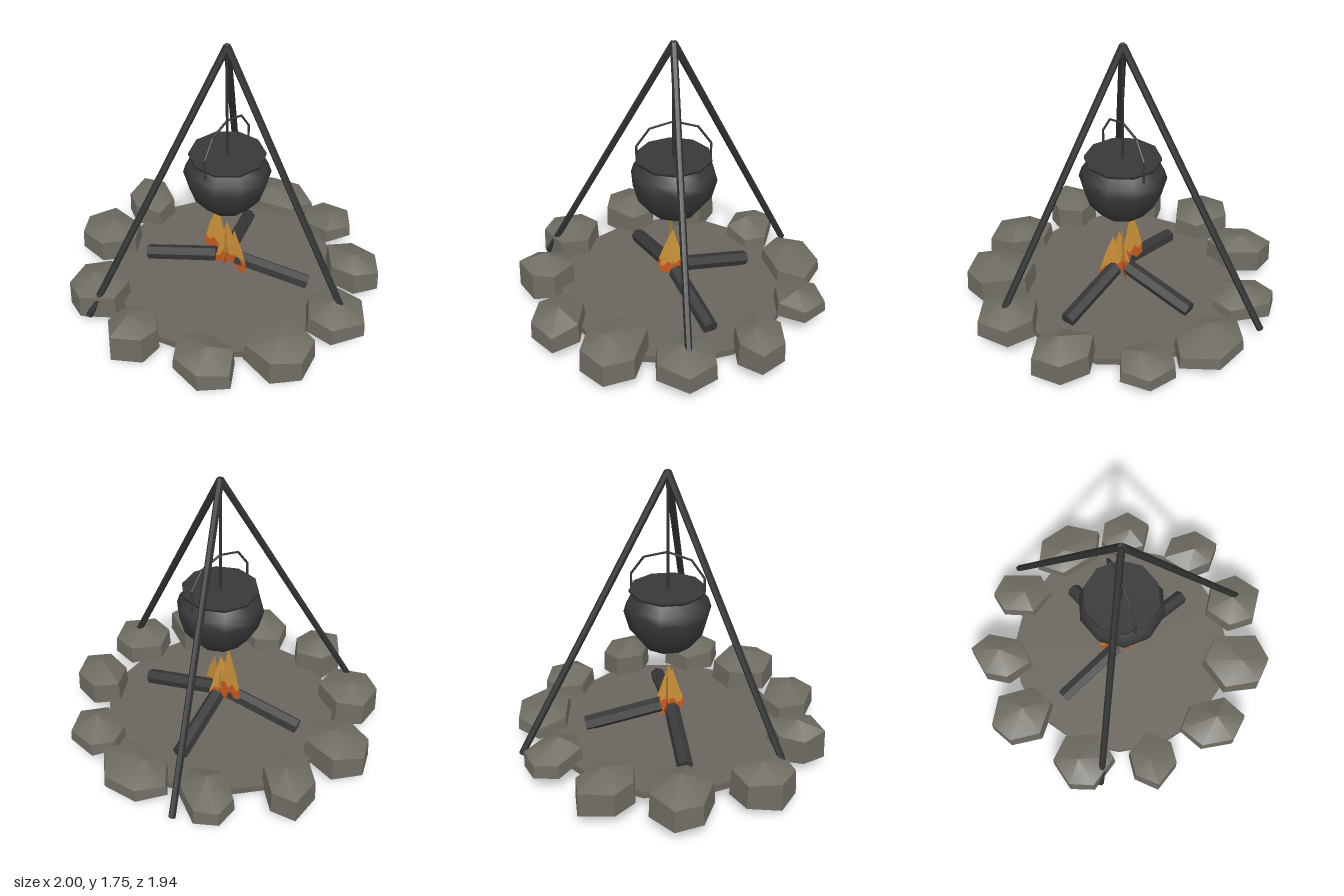
import * as THREE from 'three';
import { toCreasedNormals } from 'three/addons/utils/BufferGeometryUtils.js';
import { ConvexGeometry } from 'three/addons/geometries/ConvexGeometry.js';

const material = (name, color, extra = {}) => {
  const m = new THREE.MeshStandardMaterial({ color, ...extra });
  m.name = name;
  return m;
};

const V = (x, y, z) => new THREE.Vector3(x, y, z);

export function createModel() {
  const stone = material('stone', 0x6e6b62);
  const ash = material('ash ground', 0x6a665e);
  const iron = material('cast iron', 0x383838);
  const pole = material('dark pole', 0x303131);
  const char = material('charred wood', 0x383838);
  const flameTip = material('flame yellow', 0xcf9439, { side: THREE.DoubleSide });
  const flameBase = material('flame orange', 0xcc5a1e, { side: THREE.DoubleSide });

  const model = new THREE.Group();
  model.name = 'campfire';
  const add = (name, geometry, mat, parent = model) => {
    const mesh = new THREE.Mesh(geometry, mat);
    mesh.name = name;
    parent.add(mesh);
    return mesh;
  };

  // Straight bar with a few sides between two points
  const bar = (name, a, b, radius, sides, mat, parent) => {
    const g = toCreasedNormals(new THREE.CylinderGeometry(radius, radius, a.distanceTo(b), sides), 0.5);
    const mesh = add(name, g, mat, parent);
    mesh.position.copy(a).add(b).multiplyScalar(0.5);
    mesh.quaternion.setFromUnitVectors(V(0, 1, 0), b.clone().sub(a).normalize());
    return mesh;
  };

  // Ash bed
  const bed = new THREE.CylinderGeometry(0.72, 0.72, 0.045, 16);
  add('ashBed', toCreasedNormals(bed, 0.3), ash).position.set(-0.01, 0.1, -0.015);

  // Ring of stones: centre x, z, half length, half width, turn in degrees, bottom, top
  const stones = [
    [-0.10, -0.79, 0.25, 0.16, -10, 0.05, 0.26],
    [0.31, -0.75, 0.18, 0.15, 0, 0.06, 0.27],
    [0.67, -0.44, 0.20, 0.14, 5, 0.05, 0.31],
    [0.80, 0.00, 0.20, 0.17, 0, 0.07, 0.31],
    [0.65, 0.39, 0.22, 0.19, 20, 0.05, 0.31],
    [0.345, 0.71, 0.22, 0.15, 10, 0.05, 0.28],
    [-0.11, 0.79, 0.18, 0.14, 100, 0.02, 0.31],
    [-0.52, 0.63, 0.20, 0.17, 20, 0.00, 0.29],
    [-0.79, 0.21, 0.21, 0.17, 0, 0.03, 0.31],
    [-0.79, -0.21, 0.21, 0.14, 35, 0.04, 0.30],
    [-0.51, -0.60, 0.20, 0.15, 20, 0.05, 0.26],
  ];
  let seed = 7;
  const rand = () => {
    seed = (seed * 16807) % 2147483647;
    return seed / 2147483647 - 0.5;
  };
  const ring = new THREE.Group();
  ring.name = 'stoneRing';
  model.add(ring);
  stones.forEach(([x, z, long, wide, turn, low, high], n) => {
    const points = [
      V(rand() * 0.4 * long, high, rand() * 0.4 * wide),
      V(rand() * 0.4 * long, low, rand() * 0.4 * wide),
    ];
    for (let i = 0; i < 6; i++) {
      const a = (i / 6) * Math.PI * 2 + (i % 3 ? rand() * 0.4 : 0);
      const px = Math.cos(a) * long, pz = Math.sin(a) * wide * 1.1;
      points.push(V(px, low + 0.06 + rand() * 0.03, pz));
      points.push(V(px * 0.96, high - 0.07 + rand() * 0.03, pz * 0.96));
    }
    const rock = add('stone' + (n + 1), toCreasedNormals(new ConvexGeometry(points), 0.6), stone, ring);
    rock.position.set(x, 0, z);
    rock.rotation.y = -THREE.MathUtils.degToRad(turn);
  });

  // Tripod and hanging rod
  const tripod = new THREE.Group();
  tripod.name = 'tripod';
  model.add(tripod);
  for (let i = 0; i < 3; i++) {
    const a = (i / 3) * Math.PI * 2;
    const foot = V(-0.005 + Math.cos(a) * 0.93, 0.09, -0.012 + Math.sin(a) * 0.93);
    bar('tripodLeg', foot, V(-0.005, 1.745, -0.012), 0.021, 6, pole, tripod);
  }
  bar('hangingRod', V(-0.005, 0.98, -0.012), V(-0.005, 1.74, -0.012), 0.008, 6, pole, tripod);

  // Cauldron: body, rim, flat top and handle
  const pot = new THREE.Group();
  pot.name = 'cauldron';
  pot.position.set(-0.005, 0, -0.014);
  model.add(pot);
  const turned = (name, profile) => {
    const g = new THREE.LatheGeometry(profile.map(([r, y]) => new THREE.Vector2(r, y)), 10);
    add(name, g.rotateY(Math.PI / 2), iron, pot);
  };
  turned('potBody', [[0, 0.65], [0.075, 0.655], [0.15, 0.685], [0.23, 0.79], [0.262, 0.91], [0.245, 0.965], [0.2, 1.02]]);
  turned('potRim', [[0.2, 1.015], [0.228, 1.03], [0.228, 1.045]]);
  turned('potTop', [[0.228, 1.045], [0.001, 1.04]]);

  const handle = [[0.218, 0.98], [0.218, 1.12], [0.14, 1.23], [0, 1.27], [-0.14, 1.23], [-0.218, 1.12], [-0.218, 0.98]];
  for (let i = 1; i < handle.length; i++) {
    const [z0, y0] = handle[i - 1], [z1, y1] = handle[i];
    bar('potHandle', V(0, y0, z0), V(0, y1, z1), 0.007, 6, iron, pot);
  }

  // Logs leaning in towards the middle
  [-20, 160, 251].forEach((deg) => {
    const a = THREE.MathUtils.degToRad(deg);
    const c = Math.cos(a), s = Math.sin(a);
    bar('log', V(c * 0.53, 0.15, s * 0.53), V(c * 0.06, 0.25, s * 0.06), 0.048, 6, char);
  });

  // Flame blades: orange foot below a jagged line, yellow tip above it
  const sheet = (points) => new THREE.ShapeGeometry(
    new THREE.Shape(points.map(([x, y]) => new THREE.Vector2(x, y))));
  const blade = (x, z, turn, half, base, top, lean) => {
    const g = new THREE.Group();
    g.name = 'flame';
    g.position.set(x, 0, z);
    g.rotation.y = turn;
    model.add(g);
    const h = top - base;
    const at = (u, v) => [u * half, base + v * h];
    const jag = [at(0.98, 0.26), at(0.5, 0.34), at(0.2, 0.24), at(-0.3, 0.35), at(-0.6, 0.27), at(-0.95, 0.33)];
    add('flameTip', sheet([...jag, at(-0.6, 0.6), at(lean, 1), at(0.55, 0.6)]), flameTip, g);
    add('flameBase', sheet([at(-1, 0.16), at(-0.3, 0.1), at(0.2, 0), at(1, 0), ...jag]), flameBase, g);
  };
  blade(-0.08, -0.005, 0.08, 0.085, 0.2, 0.63, 0.15);
  blade(0.075, 0.0, -0.1, 0.078, 0.17, 0.49, -0.25);
  blade(-0.005, -0.005, 1.3, 0.09, 0.18, 0.525, 0.05);
  blade(0.0, 0.005, 1.95, 0.08, 0.18, 0.5, -0.1);

  return model;
}
